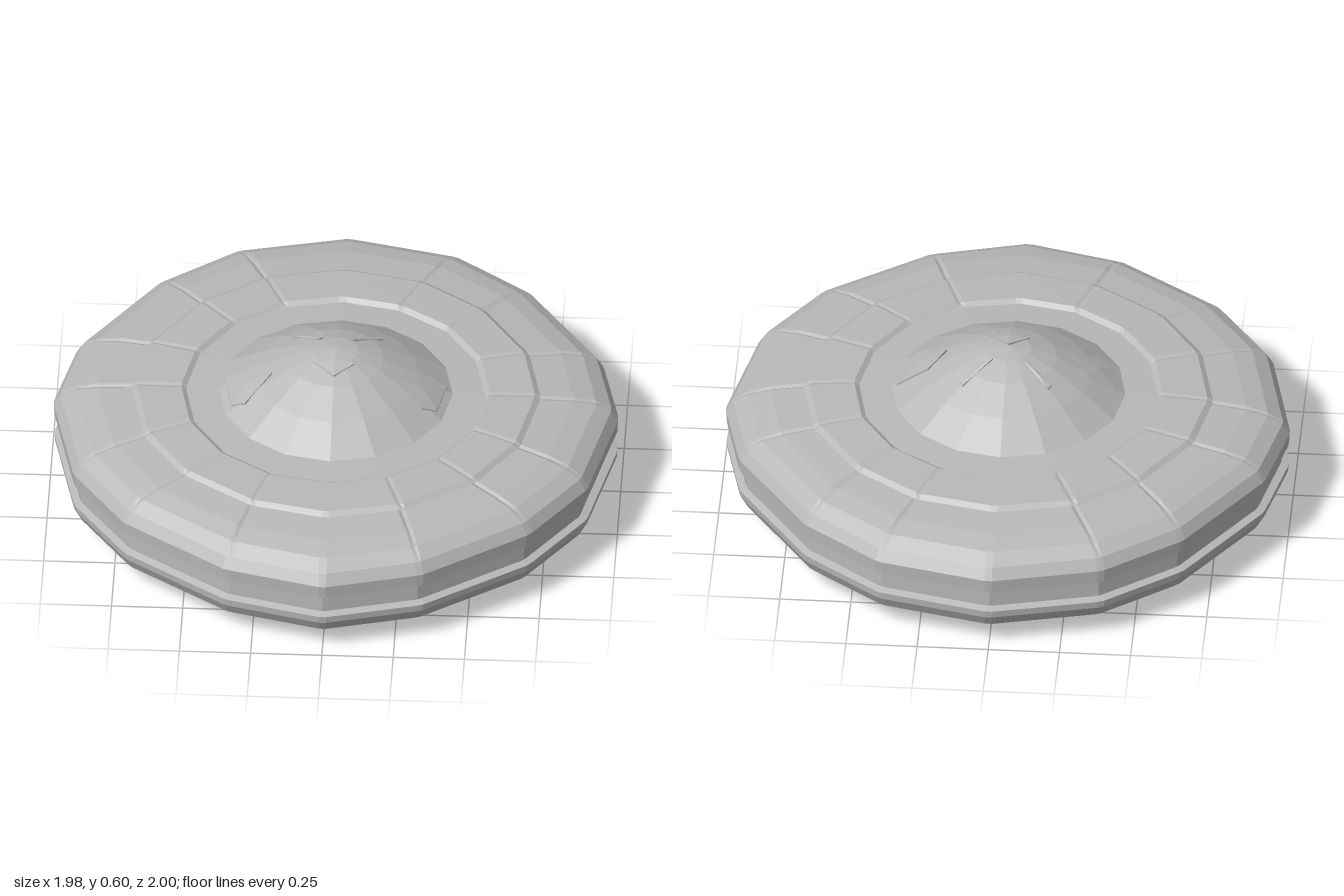
import * as THREE from 'three';

// Half outline of the sixteen-sided rim, measured from the back: [degrees, radius]
const half = [[0, 1], [23.2, 0.99], [42.9, 0.97], [70.3, 0.98], [88, 0.99], [113, 0.977], [132.5, 0.965], [159.5, 0.97]];
const rim = [...half, [180, 0.995], ...half.slice(1).reverse().map(([a, r]) => [360 - a, r])];

// Point at column i, blending from an even polygon inside to the rim outline outside
function ringPoint(i, side, [r, y, seam = 0]) {
  const k = ((i % 16) + 16) % 16;
  const t = THREE.MathUtils.clamp((r - 0.55) / 0.4, 0, 1);
  const deg = THREE.MathUtils.lerp(k * 22.5, rim[k][0], t);
  const rad = r * THREE.MathUtils.lerp(1, rim[k][1], t);
  const hasSeam = k % 8 !== 0 && seam !== 0;
  const a = THREE.MathUtils.degToRad(deg) + (r > 0 ? side * Math.min(0.013 / r, 0.08) : 0);
  return [rad * Math.sin(a), y - (side === 0 && hasSeam ? seam : 0), -rad * Math.cos(a)];
}

// Faceted shell from a bottom-to-top profile of [radius, height, seam depth]
function shell(profile, seams) {
  const columns = [];
  for (let i = 0; i < 16; i++) {
    for (const side of seams ? [-1, 0, 1] : [0]) columns.push([i, side]);
  }
  const pos = [];
  const n = columns.length;
  for (let c = 0; c < n; c++) {
    for (let j = 0; j < profile.length - 1; j++) {
      const p = (col, row) => ringPoint(...columns[col % n], profile[row]);
      const A = p(c, j), B = p(c + 1, j), C = p(c + 1, j + 1), D = p(c, j + 1);
      if (profile[j + 1][0] > 0) pos.push(...A, ...D, ...C);
      if (profile[j][0] > 0) pos.push(...A, ...C, ...B);
    }
  }
  return fromPositions(pos);
}

function fromPositions(pos) {
  const g = new THREE.BufferGeometry();
  g.setAttribute('position', new THREE.Float32BufferAttribute(pos, 3));
  g.computeVertexNormals();
  return g;
}

const domeProfile = [[0.41, 0.406], [0.29, 0.485], [0.17, 0.55], [0.08, 0.583], [0, 0.596]];

// Height of the dome at a given radius
function domeHeight(r) {
  for (let i = 0; i < domeProfile.length - 1; i++) {
    const [r0, y0] = domeProfile[i], [r1, y1] = domeProfile[i + 1];
    if (r >= r1) return THREE.MathUtils.mapLinear(Math.min(r, r0), r0, r1, y0, y1);
  }
  return 0;
}

// Thin plate with a skirt, laid over the dome along a plan outline of [x, z]
function domePlate(outline) {
  const lift = ([x, z], d) => [x, domeHeight(Math.hypot(x, z)) + d, z];
  const mid = [0, 1].map((k) => outline.reduce((s, p) => s + p[k], 0) / outline.length);
  const pos = [];
  outline.forEach((p, i) => {
    const q = outline[(i + 1) % outline.length];
    const P = lift(p, 0.006), Q = lift(q, 0.006), P0 = lift(p, -0.004), Q0 = lift(q, -0.004);
    pos.push(...lift(mid, 0.006), ...P, ...Q, ...P, ...P0, ...Q0, ...P, ...Q0, ...Q);
  });
  return fromPositions(pos);
}

export function createModel() {
  const group = new THREE.Group();
  const grey = new THREE.MeshStandardMaterial({ color: 0xb8b8b8, side: THREE.DoubleSide, flatShading: true });
  grey.name = 'hullGrey';
  const add = (name, geometry) => {
    const mesh = new THREE.Mesh(geometry, grey);
    mesh.name = name;
    group.add(mesh);
    return mesh;
  };

  // Shallow bowl below, with radial seams
  add('lowerHull', shell([
    [0, 0.005], [0.22, 0.005, -0.003], [0.55, 0.01, -0.006], [0.8, 0.024, -0.006], [0.91, 0.05, -0.003],
    [0.97, 0.09], [0.995, 0.135], [0.998, 0.162], [0.972, 0.17],
  ], true));

  // Recessed belt around the waist
  add('waistGroove', shell([[0.972, 0.168], [0.972, 0.242]], false));

  // Rounded shoulder above the belt
  add('upperHull', shell([
    [0.972, 0.237], [0.997, 0.246], [1, 0.295], [0.975, 0.335], [0.92, 0.365, 0.003], [0.84, 0.383, 0.006], [0.72, 0.393, 0.006],
  ], true));

  // Raised deck ring and the sunken ring around the dome
  add('deckRing', shell([[0.72, 0.393], [0.7, 0.406, 0.004], [0.54, 0.412, 0.004], [0.523, 0.4]], true));
  add('innerDeck', shell([[0.523, 0.4], [0.41, 0.406]], false));

  // Central dome with its hatch and panels
  add('dome', shell(domeProfile, false));
  add('domeHatch', domePlate([[0, 0], [0.07, 0.07], [0, 0.13], [-0.07, 0.07]]));
  for (const s of [1, -1]) {
    add('domeSidePanel', domePlate([[s * 0.39, -0.02], [s * 0.28, -0.02], [s * 0.22, 0.06], [s * 0.31, 0.15], [s * 0.36, 0.13]]));
    add('domeRearRidge', domePlate([[s * 0.05, -0.07], [s * 0.15, -0.16], [s * 0.16, -0.14], [s * 0.06, -0.06]]));
  }

  // Crossed bars and a small square frame under the belly
  const bar = (name, w, d, x, z) => add(name, new THREE.BoxGeometry(w, 0.007, d)).position.set(x, 0.0035, z);
  for (const s of [1, -1]) {
    bar('bellyBarLong', 0.012, 0.3, s * 0.11, 0);
    bar('bellyBarWide', 0.3, 0.012, 0, s * 0.11);
    bar('bellyFrame', 0.01, 0.1, s * 0.05, 0);
    bar('bellyFrame', 0.1, 0.01, 0, s * 0.05);
  }
  return group;
}
